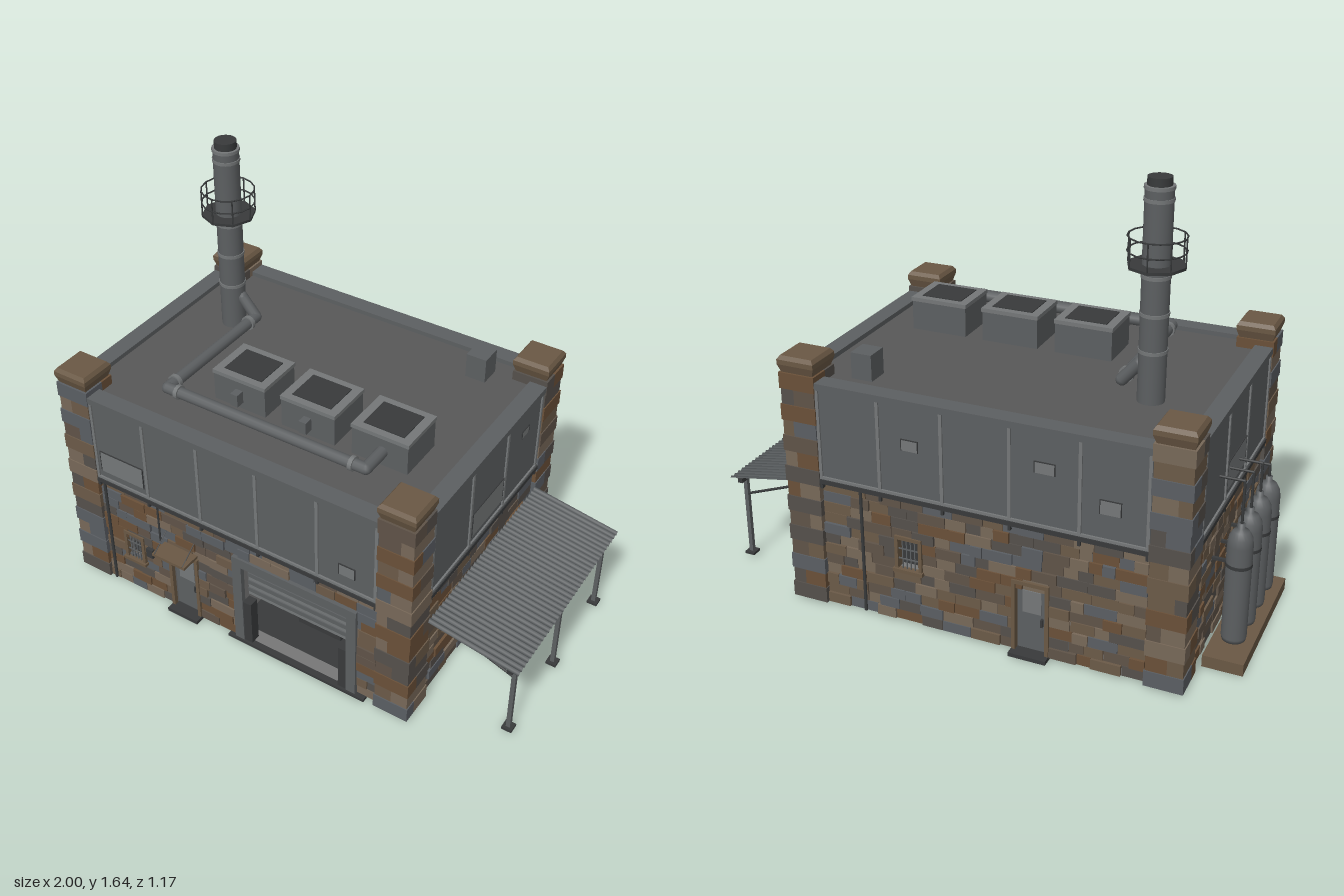
import * as THREE from 'three';
import { mergeGeometries } from 'three/addons/utils/BufferGeometryUtils.js';

const mat = (color, side = THREE.FrontSide) => {
  const m = new THREE.MeshStandardMaterial({ side });
  m.color.set(color);
  return m;
};
const metal = mat(0x5c5f61), dark = mat(0x383a3b), pale = mat(0x747778), roofGrey = mat(0x585858);
const brown = mat(0x6a5844), sheet = mat(0x4c5052, THREE.DoubleSide), inner = mat(0x777777);
const stoneMats = [0x5f5348, 0x6b5a48, 0x55504b, 0x776858, 0x5a5e63, 0x6a5038].map((c) => mat(c));

let seed = 7;
const rnd = (a = 0, b = 1) => {
  seed = (seed * 16807) % 2147483647;
  return a + (b - a) * seed / 2147483647;
};

const add = (g, name, geo, m) => {
  const mesh = new THREE.Mesh(geo, m);
  mesh.name = name;
  g.add(mesh);
  return mesh;
};
const boxGeo = (x0, x1, y0, y1, z0, z1) =>
  new THREE.BoxGeometry(x1 - x0, y1 - y0, z1 - z0).translate((x0 + x1) / 2, (y0 + y1) / 2, (z0 + z1) / 2);
const box = (g, name, m, ...b) => add(g, name, boxGeo(...b), m);
const cyl = (g, name, m, r0, r1, y0, y1, x, z, n = 16) =>
  add(g, name, new THREE.CylinderGeometry(r1, r0, y1 - y0, n).translate(x, (y0 + y1) / 2, z), m);
// Straight-run pipe through corner points
const pipe = (g, name, m, r, pts, n = 10) => {
  const path = new THREE.CurvePath(), v = pts.map((p) => new THREE.Vector3(...p));
  for (let i = 1; i < v.length; i++) path.add(new THREE.LineCurve3(v[i - 1], v[i]));
  const parts = path.curves.map((c) => new THREE.TubeGeometry(c, 1, r, n));
  v.forEach((p) => parts.push(new THREE.SphereGeometry(r, n, 6).translate(p.x, p.y, p.z)));
  return add(g, name, mergeGeometries(parts), m);
};
// Stones sorted by colour and merged
const stonePile = () => {
  const bins = stoneMats.map(() => []);
  return {
    put: (...b) => bins[Math.floor(rnd(0, 5.999))].push(boxGeo(...b)),
    flush: (g, name) => bins.forEach((b, i) => b.length && add(g, name, mergeGeometries(b), stoneMats[i])),
  };
};

// Stone wall in its own frame: u along, y up, z outward; holes are [u0, u1, y0, y1]
function stoneWall(g, half, holes) {
  const s = new THREE.Shape([[-half, 0.01], [half, 0.01], [half, 0.53], [-half, 0.53]].map((p) => new THREE.Vector2(...p)));
  holes.forEach(([a, b, c, d]) =>
    s.holes.push(new THREE.Path([[a, c], [a, d], [b, d], [b, c]].map((p) => new THREE.Vector2(...p)))));
  add(g, 'wallCore', new THREE.ExtrudeGeometry(s, { depth: 0.05, bevelEnabled: false }).translate(0, 0, -0.055), inner);
  const pile = stonePile(), rows = 12, h = 0.5 / rows;
  for (let r = 0; r < rows; r++) {
    const y0 = 0.01 + r * h, mid = y0 + h / 2;
    let spans = [[-half, half]];
    holes.filter((o) => mid > o[2] && mid < o[3]).forEach(([a, b]) => {
      spans = spans.flatMap(([p, q]) => (b <= p || a >= q ? [[p, q]] : [[p, a], [b, q]])).filter(([p, q]) => q - p > 0.005);
    });
    for (const [p, q] of spans) {
      for (let u = p; u < q - 0.001;) {
        let e = Math.min(q, u + rnd(0.045, 0.12));
        if (q - e < 0.03) e = q;
        pile.put(u, e - 0.002, y0, y0 + h - 0.002, -0.01, rnd(-0.002, 0.008));
        u = e;
      }
    }
  }
  pile.flush(g, 'wallStones');
}

function frame(g, name, m, [a, b, c, d], t, z0, z1, sill = true) {
  box(g, name, m, a - t, a, c, d, z0, z1);
  box(g, name, m, b, b + t, c, d, z0, z1);
  box(g, name, m, a - t, b + t, d, d + t, z0, z1);
  if (sill) box(g, name, m, a - t * 1.4, b + t * 1.4, c - t, c, z0, z1 + 0.008);
}
function barredWindow(g, o) {
  const [a, b, c, d] = o;
  frame(g, 'windowFrame', brown, o, 0.013, -0.055, 0.012);
  box(g, 'windowPane', dark, a, b, c, d, -0.04, -0.03);
  for (let i = 1; i < 5; i++) box(g, 'windowBar', metal, a + (b - a) * i / 5 - 0.002, a + (b - a) * i / 5 + 0.002, c, d, 0.002, 0.006);
  for (const f of [0.33, 0.67]) box(g, 'windowBar', metal, a, b, c + (d - c) * f - 0.002, c + (d - c) * f + 0.002, 0.002, 0.006);
}
function door(g, o) {
  const [a, b, c, d] = o;
  frame(g, 'doorFrame', brown, o, 0.014, -0.055, 0.012, false);
  box(g, 'doorLeaf', metal, a, b, c, d, -0.03, -0.012);
  box(g, 'doorPanel', pale, a + 0.02, b - 0.02, c + 0.15, d - 0.03, -0.012, -0.008);
  box(g, 'doorHandle', dark, b - 0.02, b - 0.012, 0.12, 0.15, -0.012, 0);
  box(g, 'doorStep', dark, a - 0.015, b + 0.015, 0, 0.015, -0.05, 0.04);
}
// Panelled upper storey on top of a stone wall
function upperBand(g, half, posts, plates) {
  box(g, 'upperPanel', metal, -half, half, 0.52, 0.88, -0.05, 0.009);
  box(g, 'ledge', dark, -half, half, 0.505, 0.522, -0.05, 0.02);
  box(g, 'bottomRail', pale, -half, half, 0.522, 0.532, 0, 0.016);
  box(g, 'topRail', metal, -half, half, 0.865, 0.89, -0.05, 0.018);
  posts.forEach((u) => box(g, 'panelPost', pale, u - 0.006, u + 0.006, 0.53, 0.87, 0, 0.015));
  posts.forEach((u) => box(g, 'ledgeBracket', dark, u - 0.005, u + 0.005, 0.485, 0.51, -0.01, 0.016));
  plates.forEach((p) => {
    frame(g, 'plateFrame', dark, p, 0.003, 0, 0.013, false);
    box(g, 'plate', pale, ...p, 0, 0.012);
  });
}

function pillar(g, cx, cz) {
  const pile = stonePile(), rows = 15, h = 0.9 / rows;
  for (let r = 0; r < rows; r++) {
    const w = r % 2 ? 0.066 : 0.07, k = rnd(-0.025, 0.025), y = 0.01 + r * h;
    if (r % 2) {
      pile.put(cx - w, cx + k, y, y + h, cz - w, cz + w);
      pile.put(cx + k, cx + w, y, y + h, cz - w, cz + w);
    } else {
      pile.put(cx - w, cx + w, y, y + h, cz - w, cz + k);
      pile.put(cx - w, cx + w, y, y + h, cz + k, cz + w);
    }
  }
  pile.flush(g, 'pillarStones');
  box(g, 'pillarFoot', dark, cx - 0.025, cx + 0.025, 0, 0.012, cz - 0.025, cz + 0.025);
  const cap = (r0, r1, y0, y1) => add(g, 'pillarCap', new THREE.CylinderGeometry(r1 * Math.SQRT2, r0 * Math.SQRT2, y1 - y0, 4)
    .rotateY(Math.PI / 4).translate(cx, (y0 + y1) / 2, cz).toNonIndexed(), brown).geometry.computeVertexNormals();
  cap(0.062, 0.072, 0.91, 0.94);
  cap(0.072, 0.072, 0.94, 0.958);
  cap(0.072, 0.062, 0.958, 0.972);
}

export function createModel() {
  const root = new THREE.Group();
  root.name = 'workshopBuilding';
  const group = (name, x = 0, z = 0, ry = 0) => {
    const g = new THREE.Group();
    g.name = name;
    g.position.set(x, 0, z);
    g.rotation.y = ry;
    root.add(g);
    return g;
  };

  const front = group('frontWall', -0.1, 0.495), back = group('backWall', -0.1, -0.56, Math.PI);
  const right = group('rightWall', 0.63, -0.03, Math.PI / 2), left = group('leftWall', -0.83, -0.03, -Math.PI / 2);
  const longPosts = [-0.605, -0.37, -0.13, 0.12, 0.37, 0.605], sidePosts = [-0.4, -0.13, 0.13, 0.4];

  // Front: window, door with canopy, garage gate
  const fWin = [-0.505, -0.435, 0.165, 0.28], fDoor = [-0.29, -0.18, 0.013, 0.295], gate = [0.04, 0.49, 0.013, 0.385];
  stoneWall(front, 0.61, [fWin, fDoor, gate]);
  upperBand(front, 0.61, longPosts, [[-0.585, -0.39, 0.56, 0.65], [0.46, 0.52, 0.58, 0.625]]);
  barredWindow(front, fWin);
  door(front, fDoor);
  box(front, 'doorCanopy', brown, -0.32, -0.17, 0.315, 0.327, 0, 0.08);
  for (const u of [-0.31, -0.18]) pipe(front, 'canopyRod', dark, 0.002, [[u, 0.385, 0], [u, 0.327, 0.078]], 5);
  frame(front, 'gateFrame', metal, gate, 0.04, -0.055, 0.014, false);
  for (let i = 0; i < 9; i++) box(front, 'shutterSlat', i % 2 ? metal : pale, 0.04, 0.49, 0.22 + i * 0.0185, 0.238 + i * 0.0185, -0.04, -0.03 + (i % 2) * 0.004);
  for (const u of [0.04, 0.455]) box(front, 'gateGuard', dark, u, u + 0.035, 0.012, 0.21, -0.03, 0.01);
  box(front, 'wallLamp', dark, -0.405, -0.375, 0.22, 0.26, 0, 0.02);
  pipe(front, 'drainPipe', dark, 0.006, [[-0.58, 0.02, 0.015], [-0.58, 0.51, 0.015]]);
  pipe(front, 'conduit', dark, 0.004, [[-0.335, 0.33, 0.01], [-0.335, 0.51, 0.01]]);

  // Back: window and door
  const bWin = [-0.31, -0.23, 0.23, 0.345], bDoor = [0.14, 0.25, 0.013, 0.28];
  stoneWall(back, 0.61, [bWin, bDoor]);
  upperBand(back, 0.61, longPosts, [[-0.28, -0.22, 0.7, 0.74], [0.21, 0.28, 0.72, 0.76], [0.44, 0.51, 0.62, 0.67]]);
  barredWindow(back, bWin);
  door(back, bDoor);
  pipe(back, 'drainPipe', dark, 0.006, [[-0.45, 0.02, 0.012], [-0.45, 0.51, 0.012]]);

  // Sides
  const rWins = [[-0.265, -0.17, 0.24, 0.335], [0.13, 0.225, 0.24, 0.335]], lWin = [0.27, 0.355, 0.23, 0.34];
  stoneWall(right, 0.41, rWins);
  stoneWall(left, 0.41, [lWin]);
  upperBand(right, 0.41, sidePosts, [[-0.11, 0.12, 0.555, 0.66], [0.25, 0.3, 0.755, 0.785]]);
  upperBand(left, 0.41, sidePosts, [[-0.11, 0.12, 0.555, 0.66]]);
  rWins.forEach((w) => barredWindow(right, w));
  barredWindow(left, lWin);

  const pillars = group('cornerPillars');
  for (const x of [-0.78, 0.58]) for (const z of [-0.51, 0.445]) pillar(pillars, x, z);

  // Garage room behind the gate, with a machine on the floor
  const garage = group('garage');
  box(garage, 'garageFloor', dark, -0.13, 0.47, 0, 0.012, -0.1, 0.515);
  box(garage, 'garageSideWall', inner, -0.15, -0.13, 0.01, 0.5, -0.1, 0.44);
  box(garage, 'garageBackWall', inner, -0.15, 0.6, 0.01, 0.5, -0.12, -0.1);
  box(garage, 'machineBody', metal, 0.08, 0.23, 0.05, 0.17, 0.15, 0.3);
  box(garage, 'machineBase', dark, 0.06, 0.25, 0.012, 0.05, 0.13, 0.32);
  pipe(garage, 'machineArm', metal, 0.01, [[0.07, 0.05, 0.31], [0.07, 0.15, 0.31], [0.11, 0.2, 0.31], [0.15, 0.16, 0.31]]);

  // Roof with ventilation units
  const roof = group('roof');
  box(roof, 'roofSlab', roofGrey, -0.8, 0.6, 0.845, 0.872, -0.53, 0.465);
  for (const x of [-0.34, -0.05, 0.24]) {
    box(roof, 'ventUnit', metal, x, x + 0.22, 0.87, 0.985, 0.055, 0.24);
    box(roof, 'ventLid', pale, x - 0.003, x + 0.223, 0.985, 1.0, 0.052, 0.243);
    box(roof, 'ventFan', dark, x + 0.03, x + 0.19, 1.0, 1.003, 0.08, 0.215);
    if (x < 0.2) box(roof, 'ventOutlet', metal, x + 0.095, x + 0.125, 0.9, 0.95, 0.24, 0.275);
  }
  box(roof, 'roofHatchBox', metal, 0.355, 0.435, 0.87, 0.97, -0.45, -0.365);
  const ductPts = [[-0.53, 1.0, -0.2], [-0.47, 0.93, -0.2], [-0.47, 0.93, 0.345], [0.36, 0.93, 0.345], [0.36, 0.93, 0.235]];
  pipe(roof, 'duct', metal, 0.022, ductPts, 12);
  for (const z of [-0.15, 0.3]) add(roof, 'ductFlange', new THREE.CylinderGeometry(0.028, 0.028, 0.015, 12).rotateX(Math.PI / 2).translate(-0.47, 0.93, z), pale);
  for (const x of [-0.42, 0.31]) add(roof, 'ductFlange', new THREE.CylinderGeometry(0.028, 0.028, 0.015, 12).rotateZ(Math.PI / 2).translate(x, 0.93, 0.345), pale);

  // Chimney with railed platform
  const chimney = group('chimney', -0.575, -0.2);
  cyl(chimney, 'stack', metal, 0.048, 0.048, 0.86, 1.615, 0, 0, 20);
  cyl(chimney, 'stackTop', dark, 0.041, 0.041, 1.615, 1.645, 0, 0, 20);
  for (const y of [1.05, 1.18, 1.31, 1.565, 1.605]) cyl(chimney, 'stackBand', pale, 0.051, 0.051, y, y + 0.012, 0, 0, 20);
  cyl(chimney, 'platform', dark, 0.1, 0.1, 1.345, 1.355, 0, 0, 8);
  for (const y of [1.4, 1.45]) add(chimney, 'platformRail', new THREE.TorusGeometry(0.098, 0.003, 5, 16).rotateX(Math.PI / 2).translate(0, y, 0), dark);
  for (let i = 0; i < 8; i++) cyl(chimney, 'railPost', dark, 0.003, 0.003, 1.35, 1.45, 0.098 * Math.cos(i * Math.PI / 4), 0.098 * Math.sin(i * Math.PI / 4), 5);

  // Gas bottles on a plinth
  const gas = group('gasBottles');
  box(gas, 'plinth', brown, -1, -0.855, 0, 0.045, -0.385, 0.21);
  const bottle = [[0, 0.045], [0.042, 0.045], [0.045, 0.06], [0.045, 0.42], [0.041, 0.45], [0.028, 0.473], [0.012, 0.482], [0.012, 0.5], [0, 0.5]];
  [0.13, 0.005, -0.12, -0.24].forEach((z, i) => {
    const y = [0.545, 0.61, 0.635, 0.66][i];
    add(gas, 'bottle', new THREE.LatheGeometry(bottle.map((p) => new THREE.Vector2(...p)), 20).translate(-0.925, 0, z), metal);
    cyl(gas, 'bottleBand', dark, 0.047, 0.047, 0.34, 0.352, -0.925, z, 20);
    box(gas, 'bottleBracket', dark, -0.89, -0.82, 0.34, 0.35, z - 0.006, z + 0.006);
    pipe(gas, 'gasPipe', dark, 0.005, [[-0.925, 0.49, z], [-0.925, y, z], [-0.83, y, z]], 8);
  });

  // Corrugated awning on posts
  const awning = group('awning');
  const sheetGeo = new THREE.PlaneGeometry(0.35, 0.84, 1, 144).rotateX(-Math.PI / 2).translate(0.825, 0, -0.02);
  const p = sheetGeo.attributes.position;
  for (let i = 0; i < p.count; i++) p.setY(i, 0.415 - (p.getX(i) - 0.65) * 0.171 + 0.006 * Math.sin(Math.floor(i / 2) * Math.PI / 2));
  sheetGeo.computeVertexNormals();
  add(awning, 'awningSheet', sheetGeo, sheet);
  box(awning, 'awningBeam', dark, 0.955, 0.975, 0.335, 0.352, -0.43, 0.39);
  for (const z of [0.34, -0.02, -0.39]) {
    box(awning, 'awningPost', metal, 0.957, 0.973, 0.015, 0.34, z - 0.008, z + 0.008);
    box(awning, 'postFoot', dark, 0.945, 0.985, 0.01, 0.02, z - 0.02, z + 0.02);
    pipe(awning, 'awningBrace', dark, 0.005, [[0.64, 0.39, z], [0.965, 0.27, z]], 6);
  }
  return root;
}
